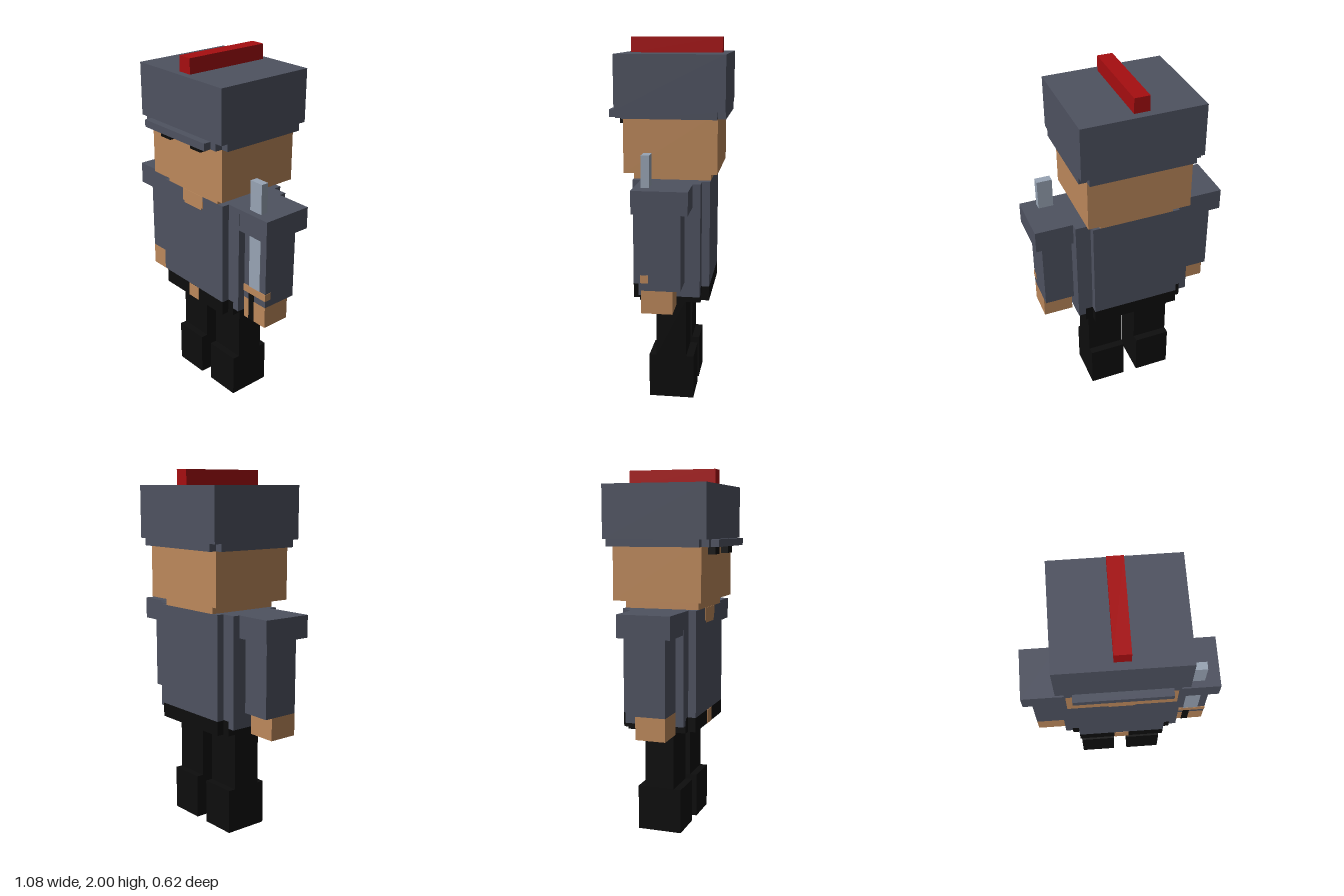
import * as THREE from 'three';

const mat = (name, color) => {
  const m = new THREE.MeshStandardMaterial({ color });
  m.name = name;
  m.flatShading = true;
  return m;
};

export function createModel() {
  const steel = mat('slate grey', 0x4e5260);
  const skin = mat('skin', 0xbc885b);
  const black = mat('black', 0x0d0d0d);
  const red = mat('crest red', 0xa60e10);
  const silver = mat('blade silver', 0x98a4b4);

  const model = new THREE.Group();
  model.name = 'blockSoldier';

  // Box given by its limits on each axis
  const box = (name, material, [x0, x1], [y0, y1], [z0, z1], parent = model) => {
    const mesh = new THREE.Mesh(new THREE.BoxGeometry(x1 - x0, y1 - y0, z1 - z0), material);
    mesh.position.set((x0 + x1) / 2, (y0 + y1) / 2, (z0 + z1) / 2);
    mesh.name = name;
    parent.add(mesh);
    return mesh;
  };
  // Box centred on x = 0
  const mid = (name, material, w, y, z, parent) => box(name, material, [-w, w], y, z, parent);
  const group = (name) => {
    const g = new THREE.Group();
    g.name = name;
    model.add(g);
    return g;
  };

  // Head and neck
  const head = group('head');
  mid('face', skin, 0.29, [1.295, 1.62], [-0.27, 0.23], head);
  mid('neck', skin, 0.21, [1.25, 1.3], [-0.23, 0.19], head);

  // Helmet with notched lower corners, brim and crest
  const helmet = group('helmet');
  mid('helmetShell', steel, 0.333, [1.627, 1.917], [-0.312, 0.27], helmet);
  mid('helmetSideRim', steel, 0.333, [1.587, 1.627], [-0.27, 0.23], helmet);
  mid('helmetFrontBackRim', steel, 0.29, [1.587, 1.627], [-0.312, 0.27], helmet);
  mid('helmetBrim', steel, 0.25, [1.587, 1.627], [0.27, 0.312], helmet);
  mid('helmetCrest', red, 0.042, [1.917, 2], [-0.27, 0.23], helmet);

  // Torso: wide core with raised front and back panels
  const torso = group('torso');
  mid('tunicCore', steel, 0.333, [0.67, 1.25], [-0.187, 0.147], torso);
  mid('tunicPanels', steel, 0.25, [0.667, 1.25], [-0.23, 0.19], torso);
  mid('collarOpening', skin, 0.085, [1.18, 1.25], [0.186, 0.192], torso);
  mid('collarPoint', skin, 0.073, [1.167, 1.18], [0.186, 0.192], torso);

  // Hips
  const hips = group('hips');
  mid('hipSides', black, 0.292, [0.587, 0.67], [-0.187, 0.147], hips);
  mid('hipFrontBack', black, 0.25, [0.587, 0.667], [-0.23, 0.19], hips);
  mid('hipPatch', skin, 0.042, [0.588, 0.666], [0.186, 0.193], hips);

  for (const s of [1, -1]) {
    const side = s > 0 ? 'left' : 'right';
    const span = (a, b) => (s > 0 ? [a, b] : [-b, -a]);

    box(side + 'Eye', black, span(0.085, 0.167), [1.546, 1.588], [0.23, 0.27], head);
    box(side + 'TunicHem', steel, span(0.292, 0.333), [0.63, 0.67], [-0.187, 0.147], torso);

    // Arm
    const arm = group(side + 'Arm');
    box(side + 'ShoulderPad', steel, span(0.333, 0.542), [1.128, 1.25], [-0.146, 0.146], arm);
    box(side + 'Sleeve', steel, span(0.333, 0.5), [0.712, 1.128], [-0.104, 0.104], arm);
    box(side + 'Hand', skin, span(0.333, 0.5), [0.587, 0.712], [-0.062, 0.104], arm);

    // Leg
    const leg = group(side + 'Leg');
    box(side + 'Trouser', black, span(0.042, 0.25), [0.25, 0.587], [-0.104, 0.063], leg);
    box(side + 'Boot', black, span(0.042, 0.25), [0, 0.25], [-0.146, 0.104], leg);
  }

  // Sword held against the left sleeve
  const sword = group('sword');
  box('blade', silver, [0.373, 0.457], [0.795, 1.417], [0.064, 0.107], sword);
  box('crossGuard', skin, [0.332, 0.502], [0.753, 0.795], [0.066, 0.108], sword);
  box('grip', black, [0.373, 0.412], [0.589, 0.753], [0.066, 0.107], sword);

  return model;
}
